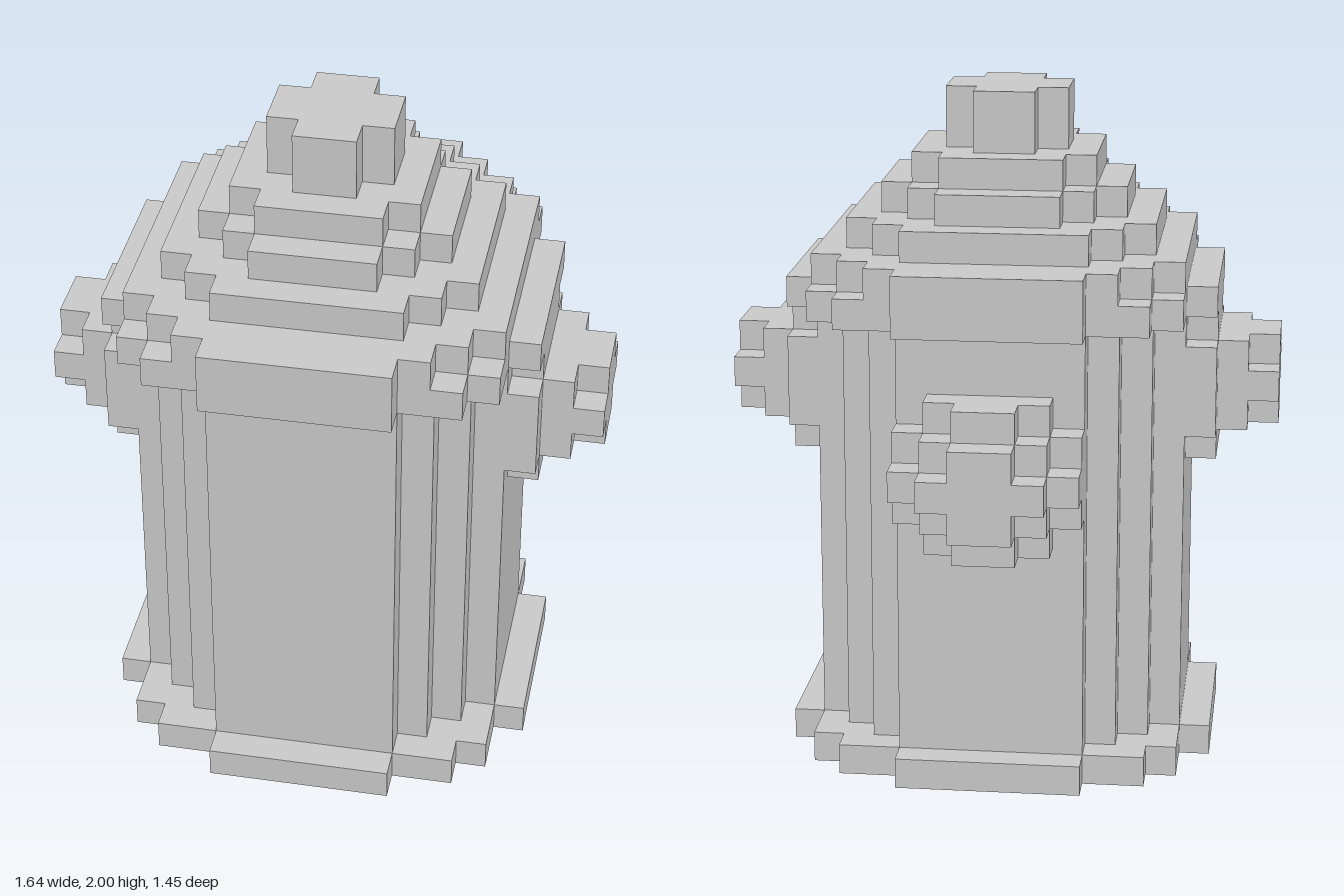
import * as THREE from 'three';

const U = 2 / 22; // one block
const material = new THREE.MeshStandardMaterial({ color: 0xcccccc, flatShading: true });

// Stepped outline, mirrored to four quadrants from [halfWidth, halfHeight] pairs
function steppedShape(steps) {
  const quarter = [];
  steps.forEach(([w, h], i) => {
    quarter.push([w, h]);
    if (i < steps.length - 1) quarter.push([w, steps[i + 1][1]]);
  });
  const back = [...quarter].reverse();
  const points = [
    ...quarter,
    ...back.map(([x, y]) => [x, -y]),
    ...quarter.map(([x, y]) => [-x, -y]),
    ...back.map(([x, y]) => [-x, y]),
  ];
  return new THREE.Shape(points.map(([x, y]) => new THREE.Vector2(x * U, y * U)));
}

function slab(name, steps, depth) {
  const geometry = new THREE.ExtrudeGeometry(steppedShape(steps), { depth: depth * U, bevelEnabled: false });
  const mesh = new THREE.Mesh(geometry, material);
  mesh.name = name;
  return mesh;
}

// Slabs stacked outward along local +z
function stack(name, layers) {
  const group = new THREE.Group();
  group.name = name;
  let z = 0;
  for (const [part, depth, steps] of layers) {
    const mesh = slab(part, steps, depth);
    mesh.position.z = z * U;
    z += depth;
    group.add(mesh);
  }
  return group;
}

export function createModel() {
  const model = new THREE.Group();
  model.name = 'hydrant';

  const wide = [[3, 7], [5, 6], [6, 5], [7, 3]];

  // Barrel, stepped dome and top knob
  const tower = stack('tower', [
    ['base', 1, wide],
    ['barrel', 14, [[3, 6], [4, 5], [5, 4], [6, 3]]],
    ['capRim', 1, wide],
    ['capUpperRim', 1, [[3, 7], [4, 6], [5, 5], [6, 4]]],
    ['domeLower', 1, [[3, 5], [4, 4], [5, 3]]],
    ['domeMiddle', 1, [[2, 4], [3, 3], [4, 2]]],
    ['domeUpper', 1, [[2, 3], [3, 2]]],
    ['knob', 2, [[1, 2], [2, 1]]],
  ]);
  tower.rotation.x = -Math.PI / 2;
  tower.position.z = U;
  model.add(tower);

  // Side outlets
  for (const side of [1, -1]) {
    const outlet = stack(side > 0 ? 'leftOutlet' : 'rightOutlet', [
      ['flange', 1, [[2, 2.5], [3, 1.5]]],
      ['nozzle', 1, [[2, 1.5]]],
      ['nozzleCap', 1, [[1, 1.5], [2, 0.5]]],
    ]);
    outlet.rotation.y = side * Math.PI / 2;
    outlet.position.set(side * 6 * U, 12.5 * U, U);
    model.add(outlet);
  }

  // Larger rear outlet
  const rear = stack('rearOutlet', [
    ['flange', 1, [[2, 2.5], [3, 1.5]]],
    ['nozzle', 1, [[1, 2.5], [2, 1.5], [3, 0.5]]],
    ['nozzleCap', 1, [[1, 1.5], [2, 0.5]]],
  ]);
  rear.rotation.y = Math.PI;
  rear.position.set(0, 10.5 * U, -5 * U);
  model.add(rear);

  return model;
}
